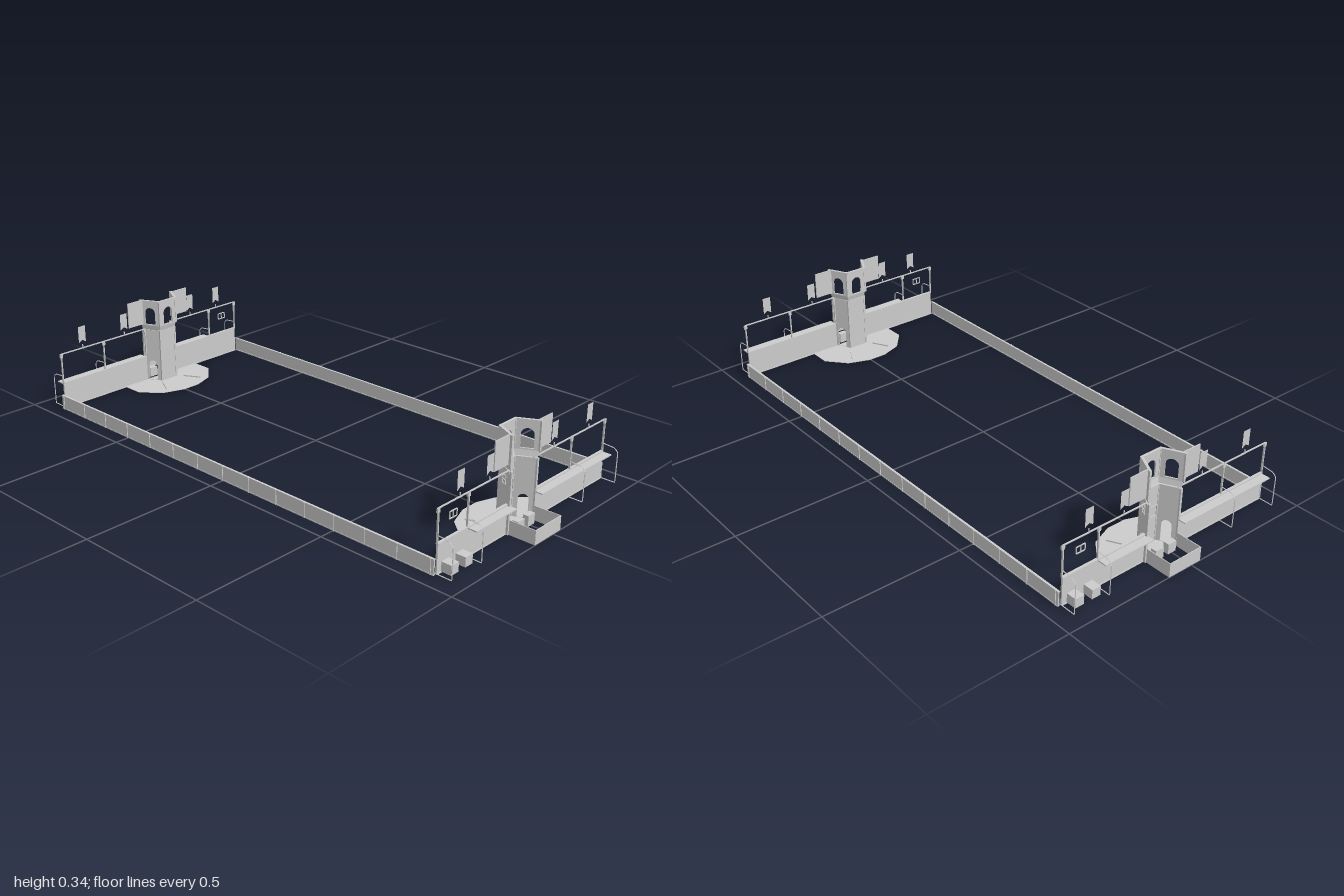
import * as THREE from 'three';

const mat = new THREE.MeshStandardMaterial({ color: 0xcccccc, flatShading: true, side: THREE.DoubleSide });
const CX = -0.03; // tower centre line
const WZ = 0.892; // end wall plane

function add(group, name, geo, x = 0, y = 0, z = 0) {
  const m = new THREE.Mesh(geo, mat);
  m.name = name;
  m.position.set(x, y, z);
  group.add(m);
  return m;
}

// box given by its min and max on each axis
function block(group, name, x0, x1, y0, y1, z0, z1) {
  return add(group, name, new THREE.BoxGeometry(x1 - x0, y1 - y0, z1 - z0),
    (x0 + x1) / 2, (y0 + y1) / 2, (z0 + z1) / 2);
}

// rectangular bar frame in the XY plane
function frame(group, name, x0, x1, y0, y1, z, t) {
  for (const x of [x0, x1]) block(group, name, x - t / 2, x + t / 2, y0, y1, z - t / 2, z + t / 2);
  for (const y of [y0, y1]) block(group, name, x0, x1, y - t / 2, y + t / 2, z - t / 2, z + t / 2);
}

// upright wall between two ground points, with an optional arched opening
function panel(group, name, a, b, y0, y1, arch, t = 0.005) {
  const dx = b[0] - a[0], dz = b[1] - a[1], len = Math.hypot(dx, dz);
  const s = new THREE.Shape();
  s.moveTo(0, y0).lineTo(len, y0).lineTo(len, y1).lineTo(0, y1).closePath();
  if (arch) {
    const r = arch.w / 2, c = len / 2;
    const h = new THREE.Path();
    h.moveTo(c - r, arch.y0).lineTo(c + r, arch.y0).lineTo(c + r, arch.y1 - r);
    h.absarc(c, arch.y1 - r, r, 0, Math.PI, false);
    h.closePath();
    s.holes.push(h);
  }
  const geo = new THREE.ExtrudeGeometry(s, { depth: t, bevelEnabled: false, curveSegments: 6 });
  geo.translate(0, 0, -t / 2);
  add(group, name, geo, a[0], 0, a[1]).rotation.y = -Math.atan2(dz, dx);
}

// plan of the half-hexagon tower, scaled about its open side
const plan = (k) => [[-0.072, 0], [-0.038, -0.065], [0.038, -0.065], [0.072, 0]]
  .map(([x, z]) => [CX + x * k, WZ + 0.008 + z * k]);

// sloped band joining two plan outlines
function flare(group, k0, k1, y0, y1) {
  const lo = plan(k0), hi = plan(k1), pos = [], idx = [];
  lo.forEach((p, i) => pos.push(p[0], y0, p[1], hi[i][0], y1, hi[i][1]));
  for (let i = 0; i < 3; i++) idx.push(2 * i, 2 * i + 1, 2 * i + 2, 2 * i + 1, 2 * i + 3, 2 * i + 2);
  const geo = new THREE.BufferGeometry();
  geo.setAttribute('position', new THREE.Float32BufferAttribute(pos, 3));
  geo.setIndex(idx);
  geo.computeVertexNormals();
  add(group, 'towerCornice', geo);
}

function makeTower() {
  const g = new THREE.Group();
  g.name = 'tower';
  const low = plan(0.95), up = plan(1.06);
  for (let i = 0; i < 3; i++) {
    panel(g, 'towerWall', low[i], low[i + 1], 0, 0.212, i === 1 ? null : { w: 0.034, y0: 0.004, y1: 0.085 });
    panel(g, 'belfryWall', up[i], up[i + 1], 0.232, 0.333, { w: 0.042, y0: 0.237, y1: 0.304 });
    panel(g, 'belfryCap', up[i], up[i + 1], 0.329, 0.334, null, 0.009);
    panel(g, 'towerBand', low[i], low[i + 1], 0.205, 0.212, null, 0.009);
  }
  flare(g, 0.97, 1.06, 0.21, 0.233);
  // corner pilasters
  low.forEach(([x, z]) => block(g, 'pilaster', x - 0.004, x + 0.004, 0, 0.212, z - 0.004, z + 0.004));
  up.forEach(([x, z]) => block(g, 'belfryPilaster', x - 0.004, x + 0.004, 0.232, 0.334, z - 0.004, z + 0.004));
  frame(g, 'innerWindowFrame', CX - 0.004, CX + 0.03, 0.1, 0.138, low[1][1] + 0.005, 0.003);
  // small twin window on the slanted right side
  const w = new THREE.Group();
  w.name = 'sideWindow';
  frame(w, 'sideWindowFrame', -0.01, 0.01, 0.158, 0.172, 0, 0.003);
  frame(w, 'sideWindowFrame', -0.01, 0.01, 0.172, 0.187, 0, 0.003);
  w.position.set((low[0][0] + low[1][0]) / 2 - 0.004, 0, (low[0][1] + low[1][1]) / 2 - 0.002);
  w.rotation.y = Math.atan2(0.065, 0.034);
  g.add(w);
  return g;
}

// pennant with a notched lower edge
function flag(group, x) {
  const s = new THREE.Shape();
  s.moveTo(-0.016, 0.3).lineTo(-0.016, 0.236).lineTo(0, 0.246).lineTo(0.016, 0.236).lineTo(0.016, 0.3).closePath();
  add(group, 'pennant', new THREE.ShapeGeometry(s), x, 0, WZ);
  block(group, 'pennantPin', x - 0.0015, x + 0.0015, 0.215, 0.228, WZ - 0.0015, WZ + 0.0015);
}

function makeEnd() {
  const g = new THREE.Group();
  g.name = 'end';
  const L = -0.435, R = 0.435, tl = -0.097, tr = 0.038;

  // low boards and rails on either side of the tower
  for (const [a, b] of [[L, tl], [tr, R]]) {
    block(g, 'endBoard', a, b, 0, 0.1, WZ - 0.003, WZ + 0.003);
    block(g, 'boardCap', a, b, 0.098, 0.102, WZ - 0.005, WZ + 0.005);
    block(g, 'kickStrip', a, b, 0, 0.004, WZ - 0.005, WZ + 0.005);
    block(g, 'topRail', a, b, 0.212, 0.216, WZ - 0.002, WZ + 0.002);
  }
  // outer shelf
  for (const [a, b] of [[-0.295, tl], [tr, R]])
    block(g, 'shelf', a, b, 0.094, 0.098, WZ, WZ + 0.036);

  // glazing posts
  for (const x of [L, -0.295, tl, tr, 0.24, R]) {
    block(g, 'post', x - 0.002, x + 0.002, 0.1, 0.215, WZ - 0.003, WZ + 0.003);
    block(g, 'postClip', x - 0.006, x + 0.006, 0.2, 0.214, WZ - 0.003, WZ + 0.003);
  }
  // bent support hoops outside the wall
  for (const x of [L, -0.295, 0.24, R]) {
    const path = new THREE.CurvePath();
    const pts = [[0.128, 0], [0.124, 0.045], [0.112, 0.058], [0.003, 0.058], [0.003, 0]]
      .map(([y, z]) => new THREE.Vector3(x, y, WZ + z));
    for (let i = 0; i < 4; i++) path.add(new THREE.LineCurve3(pts[i], pts[i + 1]));
    add(g, 'supportHoop', new THREE.TubeGeometry(path, 32, 0.002, 4));
  }

  // twin service window
  frame(g, 'smallWindow', -0.382, -0.365, 0.159, 0.182, WZ, 0.003);
  frame(g, 'smallWindow', -0.365, -0.348, 0.159, 0.182, WZ, 0.003);

  // stools by the right corner
  for (const x of [-0.415, -0.349]) block(g, 'stool', x, x + 0.034, 0.003, 0.036, WZ + 0.003, WZ + 0.04);

  // open-topped pit outside the tower, with two seats
  block(g, 'pitFront', tl, tr, 0, 0.05, 0.997, 1);
  block(g, 'pitSide', tl, tl + 0.003, 0, 0.05, WZ, 1);
  block(g, 'pitSide', tr - 0.003, tr, 0, 0.05, WZ, 1);
  for (const x of [-0.074, -0.02]) block(g, 'pitSeat', x, x + 0.034, 0.003, 0.04, 0.9, 0.921);

  // large boards beside the belfry and small pennants
  block(g, 'signBoard', -0.178, tl - 0.005, 0.236, 0.335, WZ - 0.002, WZ + 0.002);
  block(g, 'signBoard', tr + 0.005, 0.116, 0.236, 0.335, WZ - 0.002, WZ + 0.002);
  for (const x of [-0.336, -0.196, 0.139, 0.336]) flag(g, x);

  g.add(makeTower());

  // faceted floor apron
  const s = new THREE.Shape();
  [[-0.18, 0], [-0.18, 0.085], [-0.117, 0.158], [-0.036, 0.187], [0.036, 0.187], [0.117, 0.158], [0.18, 0.085], [0.18, 0]]
    .forEach(([x, y], i) => (i ? s.lineTo(x, y) : s.moveTo(x, y)));
  const apron = add(g, 'apron', new THREE.ExtrudeGeometry(s, { depth: 0.002, bevelEnabled: false }), CX, 0.001, WZ);
  apron.rotation.x = -Math.PI / 2;
  for (const side of [-1, 1]) {
    const bar = add(g, 'apronBar', new THREE.BoxGeometry(0.004, 0.006, 0.07), CX + side * 0.07, 0.005, WZ - 0.11);
    bar.rotation.y = -side * 0.5;
  }
  return g;
}

function makeSide() {
  const g = new THREE.Group();
  g.name = 'sideWall';
  block(g, 'sideBoard', 0.441, 0.446, 0, 0.052, -WZ, WZ);
  block(g, 'sideCap', 0.439, 0.447, 0.05, 0.054, -WZ, WZ);
  block(g, 'sideBase', 0.439, 0.447, 0, 0.004, -WZ, WZ);
  // outer ribs
  for (let i = 0; i <= 14; i++) {
    const z = -0.88 + i * (1.76 / 14);
    block(g, 'sideRib', 0.445, 0.449, 0, 0.054, z - 0.002, z + 0.002);
  }
  return g;
}

export function createModel() {
  const model = new THREE.Group();
  model.name = 'arena';
  // each half repeats by a half turn
  for (const turn of [0, Math.PI]) {
    const half = new THREE.Group();
    half.name = turn ? 'backHalf' : 'frontHalf';
    half.add(makeEnd(), makeSide());
    half.rotation.y = turn;
    model.add(half);
  }
  return model;
}
